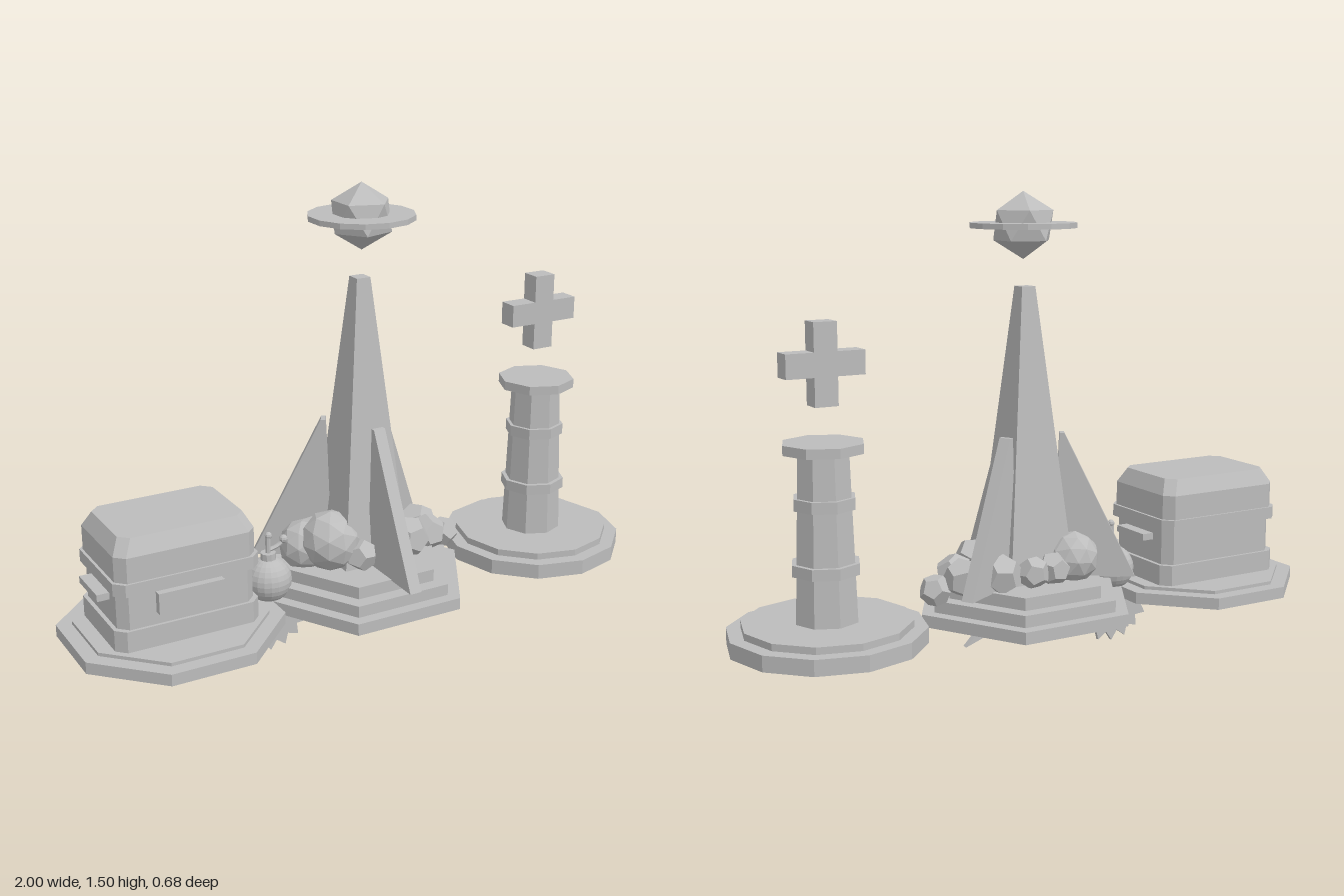
import * as THREE from 'three';

const stone = new THREE.MeshStandardMaterial({ color: 0xbcbcbc, flatShading: true });
stone.name = 'plain grey';

function add(parent, name, geo, x = 0, y = 0, z = 0) {
  const m = new THREE.Mesh(geo, stone);
  m.name = name;
  m.position.set(x, y, z);
  parent.add(m);
  return m;
}

function group(parent, name, x = 0, y = 0, z = 0) {
  const g = new THREE.Group();
  g.name = name;
  g.position.set(x, y, z);
  parent.add(g);
  return g;
}

// Straight or tapered prism between two heights
function prism(parent, name, sides, rBottom, rTop, y0, y1, turn = 0) {
  const geo = new THREE.CylinderGeometry(rTop, rBottom, y1 - y0, sides).rotateY(turn);
  return add(parent, name, geo, 0, (y0 + y1) / 2, 0);
}

// Flat outline extruded along z, centred on z = 0
function plate(points, depth) {
  const shape = new THREE.Shape(points.map(([x, y]) => new THREE.Vector2(x, y)));
  return new THREE.ExtrudeGeometry(shape, { depth, bevelEnabled: false }).translate(0, 0, -depth / 2);
}

// Stack of chamfered rectangles: each level is [y, halfX, halfZ, chamfer]
function loft(levels) {
  const rings = levels.map(([y, a, b, c]) => [
    [a, b - c], [a - c, b], [c - a, b], [-a, b - c],
    [-a, c - b], [c - a, -b], [a - c, -b], [a, c - b],
  ].map(([x, z]) => [x, y, z]));
  const pos = [];
  const tri = (...p) => p.forEach((v) => pos.push(...v));
  for (let i = 0; i < rings.length - 1; i++) {
    for (let j = 0; j < 8; j++) {
      const k = (j + 1) % 8, lo = rings[i], hi = rings[i + 1];
      tri(lo[j], hi[j], hi[k]);
      tri(lo[j], hi[k], lo[k]);
    }
  }
  const bottom = rings[0], top = rings[rings.length - 1];
  for (let j = 1; j < 7; j++) {
    tri(top[0], top[j + 1], top[j]);
    tri(bottom[0], bottom[j], bottom[j + 1]);
  }
  const geo = new THREE.BufferGeometry();
  geo.setAttribute('position', new THREE.Float32BufferAttribute(pos, 3));
  geo.computeVertexNormals();
  return geo;
}

function buildChest(root) {
  const g = group(root, 'chestPedestal', -0.673);
  prism(g, 'octagonBase', 8, 0.355, 0.355, 0.158, 0.196, Math.PI / 8);
  prism(g, 'octagonStep', 8, 0.305, 0.305, 0.196, 0.207, Math.PI / 8);
  add(g, 'chest', loft([
    [0.206, 0.235, 0.165, 0.03], [0.275, 0.235, 0.165, 0.03],
    [0.275, 0.222, 0.155, 0.03], [0.39, 0.222, 0.155, 0.03],
    [0.39, 0.235, 0.172, 0.03], [0.43, 0.235, 0.172, 0.03],
    [0.43, 0.226, 0.165, 0.03], [0.51, 0.226, 0.165, 0.03],
    [0.56, 0.2, 0.138, 0.03],
  ]));
  add(g, 'frontPlate', new THREE.BoxGeometry(0.213, 0.068, 0.03), 0, 0.348, 0.165);
  for (const s of [-1, 1]) {
    add(g, 'sideHandle', new THREE.BoxGeometry(0.05, 0.022, 0.153), s * 0.237, 0.361, 0);
  }
  // Ornament below the base
  const o = group(g, 'undersideOrnament', -0.015, 0.15, 0);
  add(o, 'ornamentDisc', new THREE.CylinderGeometry(0.04, 0.03, 0.025, 8));
  for (let i = 0; i < 6; i++) {
    const a = (i * Math.PI) / 3;
    const ring = new THREE.TorusGeometry(0.016, 0.006, 5, 8).rotateX(Math.PI / 2);
    add(o, 'ornamentRing', ring, Math.cos(a) * 0.08, 0.002, Math.sin(a) * 0.07);
  }
}

function buildSpire(root) {
  const g = group(root, 'spirePedestal');
  [[0.373, 0.158, 0.197], [0.328, 0.197, 0.235], [0.276, 0.235, 0.275]]
    .forEach(([r, y0, y1]) => prism(g, 'hexagonStep', 6, r, r, y0, y1, Math.PI / 6));
  prism(g, 'spire', 4, 0.117 * Math.SQRT2, 0.024 * Math.SQRT2, 0.27, 1.207, Math.PI / 4);

  // Three radial fins
  for (let i = 0; i < 3; i++) {
    const fin = add(g, 'fin', plate([[0.09, 0.272], [0.355, 0.272], [0.125, 0.742], [0.11, 0.742]], 0.04));
    fin.rotation.y = -Math.PI / 2 + (i * Math.PI * 2) / 3;
  }

  // Rocks heaped round the foot: x, y, z, radius
  [
    [-0.13, 0.36, 0.04, 0.1], [-0.19, 0.33, -0.03, 0.085], [-0.12, 0.34, -0.1, 0.085],
    [-0.06, 0.32, 0.11, 0.055], [0.06, 0.315, 0.11, 0.05], [0.14, 0.33, 0.085, 0.068],
    [0.24, 0.305, 0.03, 0.065], [0.33, 0.272, -0.01, 0.052], [0.25, 0.31, -0.05, 0.065],
    [0.15, 0.32, -0.11, 0.068], [0.05, 0.32, -0.14, 0.052], [-0.03, 0.32, -0.13, 0.055],
  ].forEach(([x, y, z, r], i) => {
    const geo = r > 0.08 ? new THREE.IcosahedronGeometry(r, 1) : new THREE.DodecahedronGeometry(r);
    add(g, 'rock', geo, x, y, z).rotation.set(i * 0.7, i * 1.3, i * 0.4);
  });

  // Floating ringed planet, with a corner pointing up
  const planet = group(g, 'ringedPlanet', 0.006, 1.396, 0);
  const tilt = Math.atan(2 / (1 + Math.sqrt(5)));
  add(planet, 'planet', new THREE.IcosahedronGeometry(0.105).rotateZ(-tilt));
  add(planet, 'planetRing', new THREE.CylinderGeometry(0.169, 0.169, 0.017, 14));

  // Crescent hanging below the base
  add(g, 'undersideCrescent', plate([
    [-0.083, 0.067], [0, 0.098], [0.067, 0.125], [0.135, 0.098],
    [0.222, 0.067], [0.13, 0.16], [0.015, 0.16],
  ], 0.02));
}

function buildColumn(root) {
  const g = group(root, 'columnPedestal', 0.69);
  prism(g, 'roundBase', 12, 0.306, 0.306, 0.158, 0.208);
  prism(g, 'roundStep', 12, 0.262, 0.262, 0.208, 0.23);
  prism(g, 'column', 8, 0.1, 0.082, 0.23, 0.745);
  prism(g, 'lowerBand', 8, 0.108, 0.108, 0.378, 0.413);
  prism(g, 'upperBand', 8, 0.098, 0.098, 0.576, 0.612);
  prism(g, 'capital', 8, 0.128, 0.128, 0.745, 0.775);
  const a = 0.037, b = 0.125;
  add(g, 'floatingCross', plate([
    [a, a], [a, b], [-a, b], [-a, a], [-b, a], [-b, -a],
    [-a, -a], [-a, -b], [a, -b], [a, -a], [b, -a], [b, a],
  ], 0.064), -0.002, 1.008, 0);
}

function buildBombAndBlade(root) {
  // Bomb in the gap between two pedestals
  const g = group(root, 'bomb', -0.336, 0.254, 0);
  add(g, 'bombBody', new THREE.SphereGeometry(0.075, 20, 14));
  add(g, 'bombNeck', new THREE.CylinderGeometry(0.025, 0.025, 0.025, 10), 0, 0.08, 0);
  add(g, 'bombPin', new THREE.CylinderGeometry(0.009, 0.009, 0.07, 8), 0, 0.115, 0);
  add(g, 'pinTip', new THREE.SphereGeometry(0.012, 8, 6), 0.002, 0.15, 0);
  const path = new THREE.CatmullRomCurve3([[0, 0.1], [0.025, 0.105], [0.045, 0.115], [0.055, 0.13]]
    .map(([x, y]) => new THREE.Vector3(x, y, 0)));
  add(g, 'fuse', new THREE.TubeGeometry(path, 8, 0.007, 6));
  add(g, 'fuseTip', new THREE.SphereGeometry(0.014, 8, 6), 0.055, 0.128, 0);

  // Half of a toothed blade below the bomb
  const blade = group(root, 'toothedBlade', -0.336, 0.155, 0);
  const pts = [[-0.13, 0.03]];
  const teeth = 9;
  for (let i = 0; i <= teeth * 2; i++) {
    const a = Math.PI + (i / (teeth * 2)) * Math.PI;
    const r = i % 2 ? 0.155 : 0.125;
    pts.push([Math.cos(a) * r, Math.sin(a) * r]);
  }
  pts.push([0.13, 0.03]);
  add(blade, 'blade', plate(pts, 0.012));
  for (const r of [0.028, 0.055]) {
    add(blade, 'bladeRing', new THREE.TorusGeometry(r, 0.008, 4, 12, Math.PI).rotateZ(Math.PI));
  }
}

export function createModel() {
  const model = new THREE.Group();
  model.name = 'pedestalTrio';
  const root = group(model, 'parts', 0, 0, -0.013);
  buildChest(root);
  buildSpire(root);
  buildColumn(root);
  buildBombAndBlade(root);
  return model;
}
